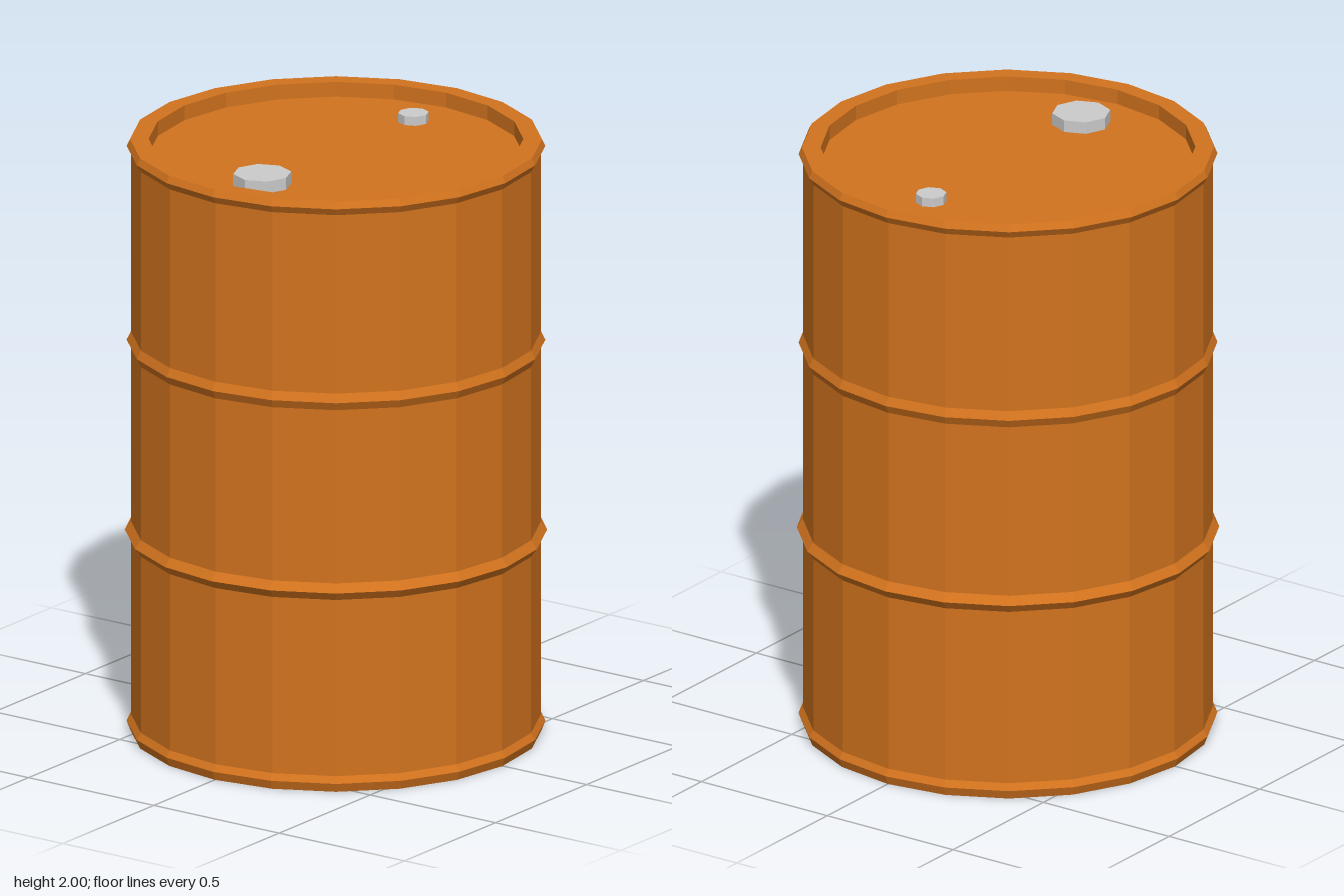
import * as THREE from 'three';

const SIDES = 20;
const BODY = 0.662;

export function createModel() {
  const group = new THREE.Group();
  const paint = new THREE.MeshStandardMaterial({ color: 0xd2731e, flatShading: true });
  const metal = new THREE.MeshStandardMaterial({ color: 0xcccccc, flatShading: true });

  // Pointed rolling hoop standing out from the wall
  const hoop = (y, r) => [[BODY, y - 0.028], [r, y], [BODY, y + 0.028]];

  // Drum shell: base, chimes, hoops, rim and recessed lid in one profile
  const profile = [
    [0, 0], [0.665, 0], [0.676, 0.03], [BODY, 0.052],
    ...hoop(0.677, 0.682),
    ...hoop(1.32, 0.676),
    [BODY, 1.953], [0.676, 1.977], [0.665, 2],
    [0.605, 2], [0.605, 1.95], [0, 1.95],
  ].map(([r, y]) => new THREE.Vector2(r, y));
  const drum = new THREE.Mesh(new THREE.LatheGeometry(profile, SIDES), paint);
  drum.name = 'drum';
  group.add(drum);

  // Octagonal bung caps on the lid
  const addCap = (name, r, height, z) => {
    const cap = new THREE.Mesh(new THREE.CylinderGeometry(r, r, height, 8), metal);
    cap.name = name;
    cap.position.set(0, 1.95 + height / 2, z);
    group.add(cap);
  };
  addCap('largeBungCap', 0.095, 0.04, 0.405);
  addCap('smallBungCap', 0.05, 0.03, -0.425);

  return group;
}
